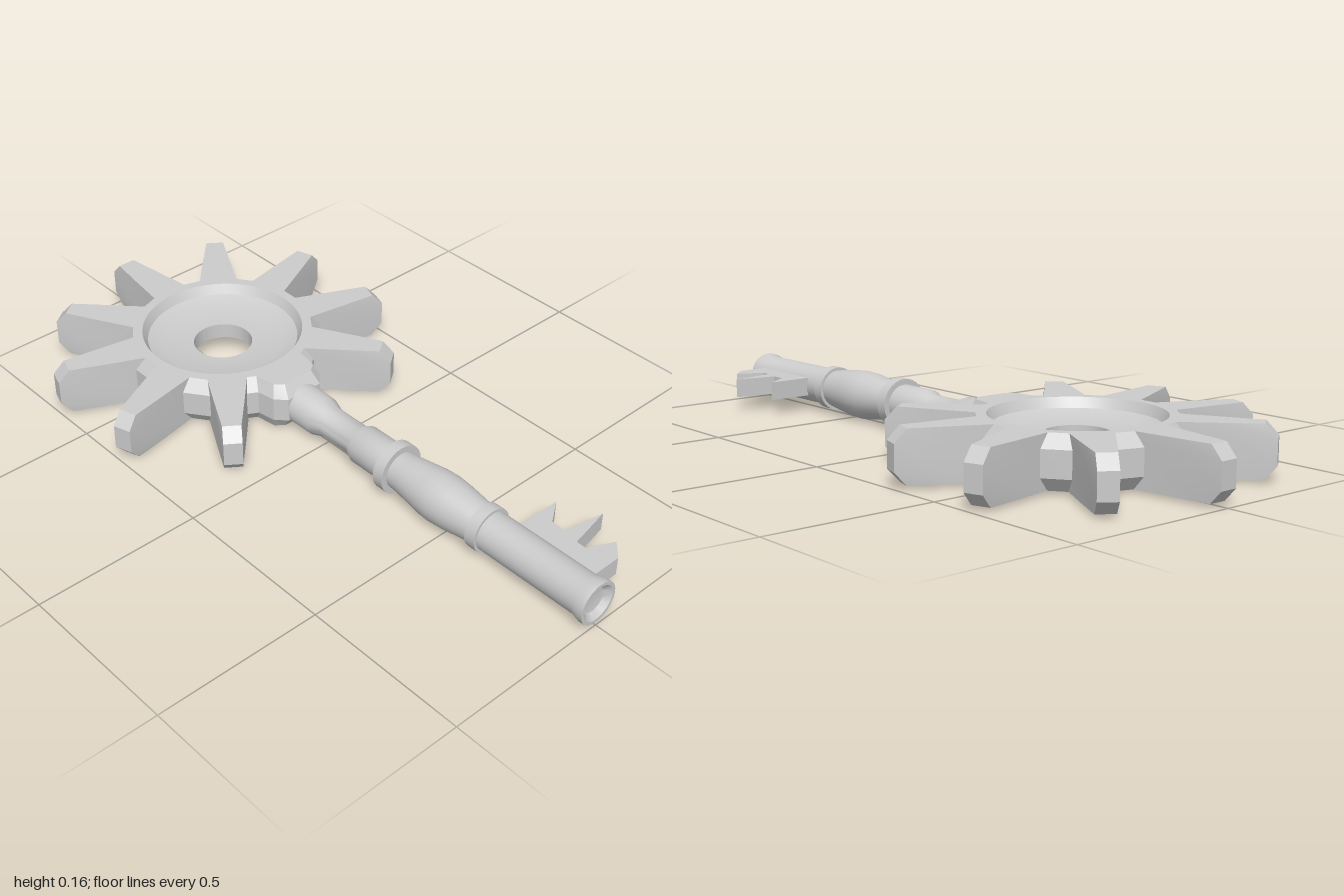
import * as THREE from 'three';
import { toCreasedNormals } from 'three/addons/utils/BufferGeometryUtils.js';

const material = new THREE.MeshStandardMaterial({ color: 0xcccccc });
const SECTORS = 10, CENTRE_Z = -0.48, CENTRE_Y = 0.084, AXIS_Y = 0.077;

// Half outlines as [half width, distance from centre], base to tip
const tooth = {
  mid: [[0.053, 0.293], [0.04, 0.4], [0.027, 0.52]],
  face: [[0.057, 0.263], [0.042, 0.38], [0.027, 0.486]],
};
const collar = {
  mid: [[0.1, 0.285], [0.09, 0.34], [0.06, 0.372]],
  face: [[0.085, 0.26], [0.075, 0.325], [0.05, 0.345]],
};

// Loop around the bow: nine teeth, and the collar where the shaft joins
function outline(kind, y) {
  const loop = [];
  for (let s = 0; s < SECTORS; s++) {
    const half = (s === SECTORS / 2 ? collar : tooth)[kind];
    const a = (s / SECTORS) * Math.PI * 2;
    const points = [
      ...half.map(([w, r]) => [-w, r]),
      ...half.slice().reverse(),
    ];
    for (const [w, r] of points) {
      loop.push([
        w * Math.cos(a) + r * Math.sin(a),
        y,
        w * Math.sin(a) - r * Math.cos(a),
      ]);
    }
  }
  return loop;
}

function ring(radius, y) {
  const count = SECTORS * 6;
  return Array.from({ length: count }, (_, i) => {
    const a = ((i - 2.5) / count) * Math.PI * 2;
    return [radius * Math.sin(a), y, -radius * Math.cos(a)];
  });
}

// Toothed bow with chamfered edges, a dish on both faces and a centre hole
function bowGeometry() {
  const dish = [[0.24, 0.074], [0.225, 0.045], [0.18, 0.028], [0.088, 0.024]];
  const loops = [
    outline('mid', -0.037),
    outline('mid', 0.037),
    outline('face', 0.074),
    ...dish.map(([r, y]) => ring(r, y)),
    ...dish.slice().reverse().map(([r, y]) => ring(r, -y)),
    outline('face', -0.074),
  ];
  const n = SECTORS * 6;
  const index = [];
  for (let j = 0; j < loops.length; j++) {
    const k = (j + 1) % loops.length;
    for (let i = 0; i < n; i++) {
      const m = (i + 1) % n;
      const a = j * n + i, b = k * n + i, c = k * n + m, d = j * n + m;
      index.push(a, b, c, a, c, d);
    }
  }
  const geometry = new THREE.BufferGeometry();
  geometry.setAttribute('position', new THREE.Float32BufferAttribute(loops.flat(2), 3));
  geometry.setIndex(index);
  return toCreasedNormals(geometry, 0.4);
}

// Turned shaft along z, with two rings, a swelling and a dished end
function shaftGeometry() {
  const profile = [
    [0, -0.2], [0.062, -0.2], [0.06, -0.03], [0.046, 0.01], [0.046, 0.12],
    [0.058, 0.145], [0.058, 0.26],
    [0.075, 0.26], [0.075, 0.295], [0.056, 0.295],
    [0.059, 0.33], [0.072, 0.42], [0.074, 0.46], [0.07, 0.51], [0.058, 0.6],
    [0.067, 0.6], [0.067, 0.635], [0.058, 0.635],
    [0.058, 0.96], [0.065, 0.985], [0.064, 1], [0.054, 1],
    [0.038, 0.984], [0, 0.978],
  ].map(([r, z]) => new THREE.Vector2(r, z));
  const geometry = new THREE.LatheGeometry(profile, 28);
  geometry.rotateX(Math.PI / 2);
  return toCreasedNormals(geometry, 0.5);
}

// Jagged flat bit standing out from the shaft
function bitGeometry() {
  const shape = new THREE.Shape([
    [0.03, 0.69], [0.19, 0.69], [0.12, 0.738], [0.12, 0.782], [0.245, 0.805],
    [0.108, 0.832], [0.108, 0.863], [0.185, 0.9], [0.14, 0.943], [0.03, 0.943],
  ].map(([x, z]) => new THREE.Vector2(x, z)));
  const geometry = new THREE.ExtrudeGeometry(shape, { depth: 0.056, bevelEnabled: false });
  geometry.rotateX(Math.PI / 2);
  return geometry;
}

export function createModel() {
  const model = new THREE.Group();
  model.name = 'gearKey';
  const add = (name, geometry, y, z = 0) => {
    const mesh = new THREE.Mesh(geometry, material);
    mesh.name = name;
    mesh.position.set(0, y, z);
    model.add(mesh);
  };
  add('toothedBow', bowGeometry(), CENTRE_Y, CENTRE_Z);
  add('shaft', shaftGeometry(), AXIS_Y);
  add('bit', bitGeometry(), 0.105);
  return model;
}
